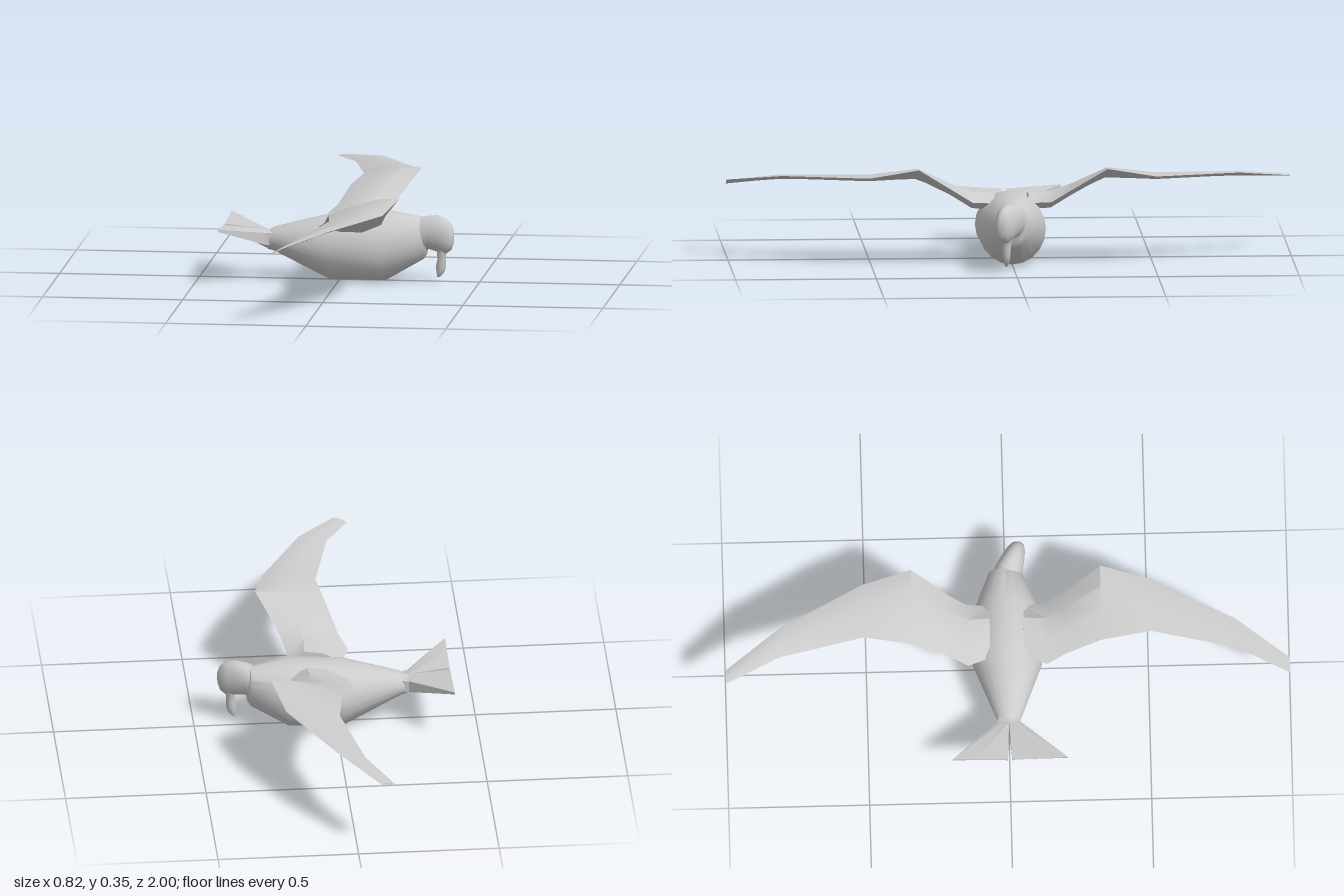
import * as THREE from 'three';
import { toCreasedNormals } from 'three/addons/utils/BufferGeometryUtils.js';

const material = new THREE.MeshStandardMaterial({ color: 0xcccccc, side: THREE.DoubleSide });

// Skins a list of equal-length rings of [x, y, z] points and closes both ends.
function loft(name, rings, crease) {
  const n = rings[0].length;
  const points = rings.flat();
  const faces = [];
  for (let r = 0; r < rings.length - 1; r++) {
    for (let i = 0; i < n; i++) {
      const j = (i + 1) % n;
      const a = r * n + i, b = r * n + j, c = a + n, d = b + n;
      faces.push([a, b, d], [a, d, c]);
    }
  }
  const last = (rings.length - 1) * n;
  for (let i = 1; i < n - 1; i++) {
    faces.push([0, i + 1, i], [last, last + i, last + i + 1]);
  }
  // Turn the faces outward when the rings run the other way round.
  const v = points.map((p) => new THREE.Vector3(...p));
  const volume = faces.reduce((s, [a, b, c]) => s + v[a].dot(v[b].clone().cross(v[c])), 0);
  if (volume < 0) faces.forEach((f) => f.reverse());
  const geometry = new THREE.BufferGeometry();
  geometry.setAttribute('position', new THREE.Float32BufferAttribute(points.flat(), 3));
  geometry.setIndex(faces.flat());
  const mesh = new THREE.Mesh(toCreasedNormals(geometry, crease), material);
  mesh.name = name;
  return mesh;
}

// Upright oval ring across the body axis.
function ovalX([x, y, ry, z, rz], sides = 20) {
  return Array.from({ length: sides }, (_, i) => {
    const a = (i / sides) * Math.PI * 2;
    return [x, y + ry * Math.cos(a), z + rz * Math.sin(a)];
  });
}

// Level oval ring, for the beak.
function ovalY([y, x, rx, z, rz], sides = 10) {
  return Array.from({ length: sides }, (_, i) => {
    const a = (i / sides) * Math.PI * 2;
    return [x + rx * Math.cos(a), y, z + rz * Math.sin(a)];
  });
}

// Thin cambered aerofoil from leading to trailing edge.
function wingSection([z, xl, yl, xt, yt, t], side) {
  const at = (f, lift) => [xl + (xt - xl) * f, yl + (yt - yl) * f + lift * t, z * side];
  return [at(0, 0), at(0.3, 0.7), at(0.65, 0.6), at(1, 0), at(0.65, -0.4), at(0.3, -0.5)];
}

function wing(side) {
  const tipTrail = side > 0 ? 0.256 : 0.275;
  const sections = [
    [0.06, 0.16, 0.218, -0.03, 0.205, 0.05],
    [0.14, 0.165, 0.222, -0.06, 0.21, 0.05],
    [0.21, 0.19, 0.268, -0.03, 0.235, 0.035],
    [0.335, 0.255, 0.352, 0.0, 0.285, 0.022],
    [0.51, 0.215, 0.318, 0.025, 0.295, 0.02],
    [0.81, 0.06, 0.308, -0.04, 0.286, 0.012],
    [1.0, -0.08, 0.277, -0.13, tipTrail, 0.004],
  ];
  return loft(side > 0 ? 'rightWing' : 'leftWing', sections.map((s) => wingSection(s, side)), 0.6);
}

// One half of the forked tail: a wedge that fans out and thins backwards.
function tailHalf(side) {
  const ring = (x, inner, outer, xMid) => [
    [x, inner[0], inner[2] * side],
    [xMid, (inner[0] + outer[0]) / 2, ((inner[2] + outer[2]) / 2) * side],
    [x, outer[0], outer[2] * side],
    [x, outer[1], outer[2] * side],
    [xMid, (inner[1] + outer[1]) / 2, ((inner[2] + outer[2]) / 2) * side],
    [x, inner[1], inner[2] * side],
  ];
  return loft(side > 0 ? 'rightTailFeathers' : 'leftTailFeathers', [
    ring(-0.22, [0.178, 0.12, 0], [0.165, 0.125, 0.03], -0.22),
    ring(-0.26, [0.175, 0.108, 0], [0.168, 0.125, 0.042], -0.26),
    ring(-0.41, [0.19, 0.18, 0.008], [0.204, 0.196, 0.205], -0.392),
  ], 0.3);
}

export function createModel() {
  const bird = new THREE.Group();
  bird.name = 'bird';

  // Round body, tapering to both ends: x, centre y, half height, centre z, half width
  bird.add(loft('body', [
    [-0.255, 0.138, 0.034, 0, 0.035],
    [-0.23, 0.142, 0.044, 0, 0.047],
    [-0.03, 0.119, 0.119, 0, 0.122],
    [0.165, 0.127, 0.127, 0, 0.12],
    [0.3, 0.155, 0.076, 0, 0.062],
    [0.312, 0.155, 0.06, 0.005, 0.045],
  ].map((s) => ovalX(s)), 0.75));

  // Head, turned slightly to one side
  bird.add(loft('head', [
    [0.29, 0.165, 0.066, 0.005, 0.056],
    [0.32, 0.178, 0.06, 0.014, 0.05],
    [0.352, 0.176, 0.066, 0.026, 0.044],
    [0.385, 0.169, 0.063, 0.037, 0.035],
    [0.404, 0.167, 0.047, 0.043, 0.026],
    [0.413, 0.167, 0.022, 0.046, 0.012],
  ].map((s) => ovalX(s)), 1.2));

  // Hooked beak, hanging down: y, centre x, half length, centre z, half width
  bird.add(loft('beak', [
    [0.14, 0.372, 0.026, 0.03, 0.026],
    [0.108, 0.368, 0.017, 0.031, 0.019],
    [0.085, 0.368, 0.015, 0.031, 0.016],
    [0.055, 0.365, 0.018, 0.031, 0.014],
    [0.035, 0.363, 0.013, 0.031, 0.01],
    [0.02, 0.356, 0.004, 0.031, 0.004],
  ].map((s) => ovalY(s)), 1.2));

  for (const side of [1, -1]) bird.add(wing(side), tailHalf(side));
  return bird;
}
